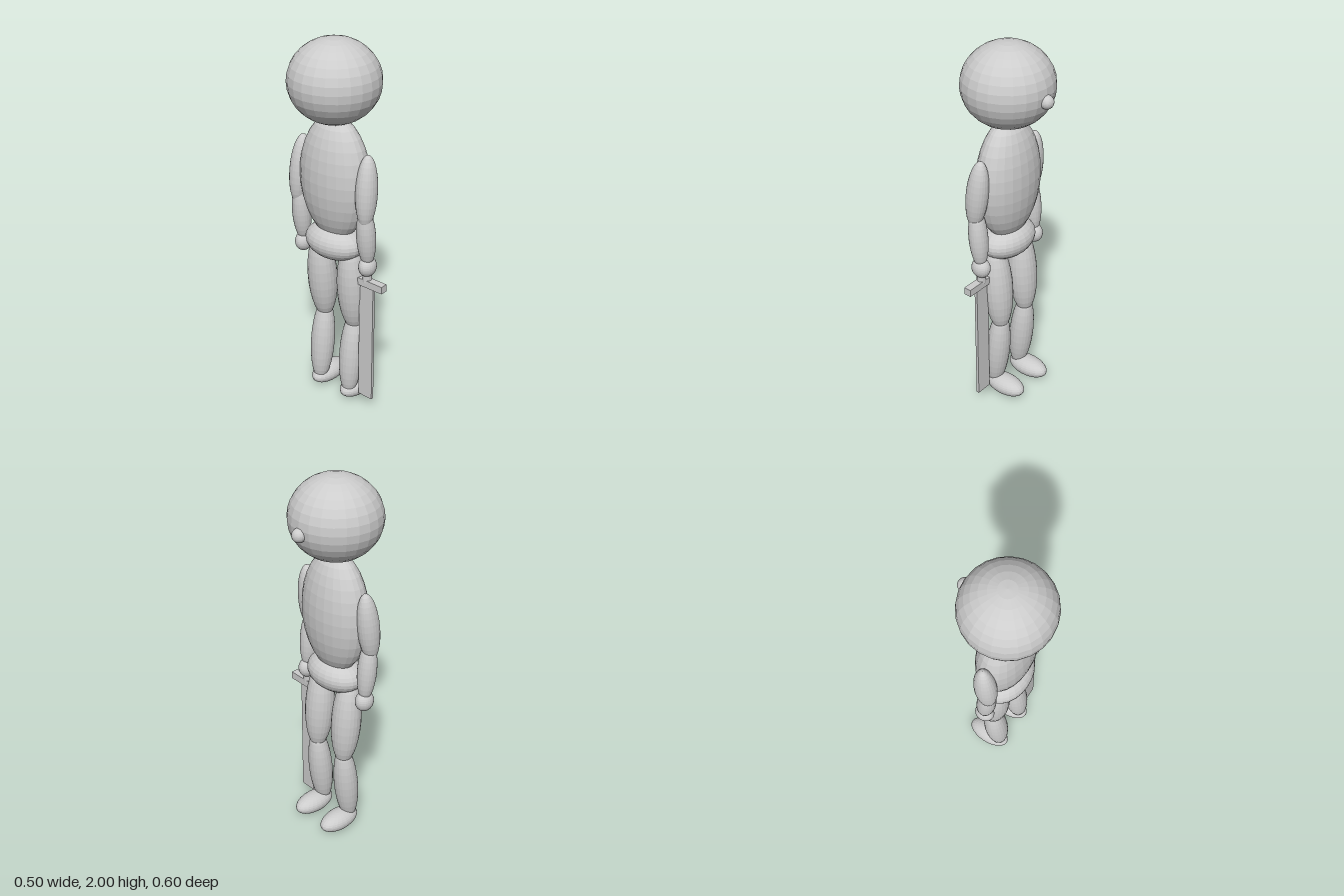
import * as THREE from 'three';

export function createModel() {
  const group = new THREE.Group();
  group.name = 'swordFigure';
  const gray = new THREE.MeshStandardMaterial({ color: 0xcccccc, flatShading: true });
  gray.name = 'light gray';

  const MID = -0.023; // z of the body's mirror plane
  const ball = new THREE.SphereGeometry(1, 24, 16);

  function add(name, geometry, x, y, z) {
    const mesh = new THREE.Mesh(geometry, gray);
    mesh.name = name;
    mesh.position.set(x, y, z);
    group.add(mesh);
    return mesh;
  }
  // Ellipsoid with radii [rx, ry, rz], leaning by tiltZ / tiltX
  function blob(name, [x, y, z], [rx, ry, rz], tiltZ = 0, tiltX = 0) {
    const mesh = add(name, ball, x, y, z);
    mesh.scale.set(rx, ry, rz);
    mesh.rotation.set(tiltX, 0, tiltZ);
    return mesh;
  }

  // Head and trunk; the figure looks along +x
  blob('head', [-0.018, 1.788, MID], [0.232, 0.212, 0.233]);
  blob('nose', [0.211, 1.762, MID], [0.035, 0.035, 0.035]);
  blob('torso', [-0.016, 1.285, MID], [0.13, 0.33, 0.206]);
  blob('pelvis', [-0.019, 0.935, MID], [0.121, 0.096, 0.172]);

  // Limbs, mirrored in z
  for (const [side, s] of [['swordSide', 1], ['freeSide', -1]]) {
    const z = (offset) => MID + s * offset;
    blob(side + 'UpperArm', [-0.034, 1.275, z(0.218)], [0.058, 0.188, 0.054], -0.1, -s * 0.04);
    blob(side + 'Forearm', [-0.032, 1.03, z(0.217)], [0.049, 0.17, 0.05], 0.09);
    blob(side + 'Hand', [-0.018, 0.857, z(0.217)], [0.052, 0.054, 0.044]);
    blob(side + 'Thigh', [-0.002, 0.685, z(0.102)], [0.077, 0.262, 0.08], 0.08);
    blob(side + 'Shin', [-0.004, 0.28, z(0.102)], [0.064, 0.25, 0.066], -0.1);
    blob(side + 'Foot', [0.045, 0.055, z(0.102)], [0.122, 0.054, 0.065]);
  }

  // Sword held point down
  const swordX = -0.018, swordZ = 0.193;
  add('swordHandle', new THREE.CylinderGeometry(0.024, 0.024, 0.14, 12), swordX, 0.84, swordZ);
  add('swordGuard', new THREE.BoxGeometry(0.04, 0.04, 0.218), swordX, 0.763, swordZ);
  add('swordBlade', new THREE.BoxGeometry(0.016, 0.69, 0.09), swordX, 0.407, swordZ);

  return group;
}
